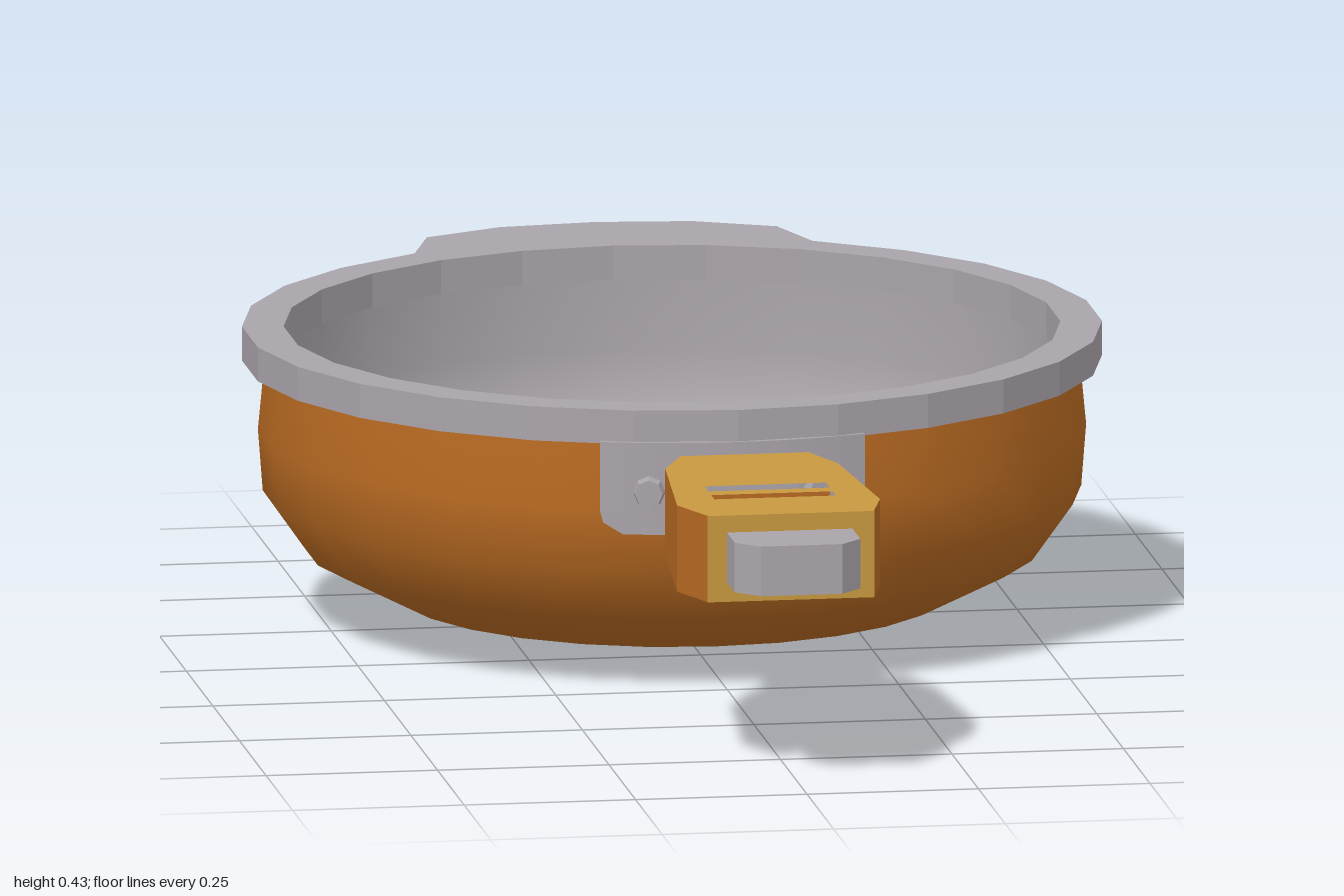
import * as THREE from 'three';

const CZ = -0.27;   // z of the pan's axis
const SIDES = 26;

export function createModel() {
  const model = new THREE.Group();
  const mat = (name, color) => {
    const m = new THREE.MeshStandardMaterial({ color });
    m.name = name;
    return m;
  };
  const grey = mat('greyMetal', 0xaaa4aa);
  const copper = mat('copper', 0xb86a22);
  const gold = mat('goldGrip', 0xc89840);

  const add = (name, geo, material, x = 0, y = 0, z = 0) => {
    const mesh = new THREE.Mesh(geo, material);
    mesh.name = name;
    mesh.position.set(x, y, z);
    model.add(mesh);
    return mesh;
  };
  const vecs = (pts) => pts.map(([x, y]) => new THREE.Vector2(x, y));
  // Plan outlines are given as (x, z) and extruded upwards
  const plan = (pts) => new THREE.Shape(vecs(pts.map(([x, z]) => [x, -z])));
  const slab = (shape, depth) =>
    new THREE.ExtrudeGeometry(shape, { depth, bevelEnabled: false }).rotateX(-Math.PI / 2);
  const rect = (x0, x1, z0, z1) => [[x0, z0], [x1, z0], [x1, z1], [x0, z1]];

  // Bowl outside and inside
  add('bowl', new THREE.LatheGeometry(vecs([
    [0, 0.004], [0.22, 0.01], [0.4, 0.043], [0.53, 0.11], [0.59, 0.195], [0.597, 0.285], [0.587, 0.39],
  ]), SIDES), copper, 0, 0, CZ);
  add('bowlInside', new THREE.LatheGeometry(vecs([
    [0.562, 0.39], [0.56, 0.285], [0.55, 0.21], [0.495, 0.13], [0.375, 0.068], [0.2, 0.036], [0, 0.03],
  ]), SIDES), grey, 0, 0, CZ);

  // Rim with the rear grab tab
  const ring = (r) => Array.from({ length: SIDES }, (_, i) => {
    const a = (i / SIDES) * Math.PI * 2;
    return [r * Math.sin(a), CZ + r * Math.cos(a)];
  });
  const tab = [[0.29, -0.82], [0.255, -0.93], [0.14, -0.985], [0, -1],
    [-0.14, -0.985], [-0.255, -0.93], [-0.29, -0.82]];
  const circle = ring(0.62);
  const isBack = ([x, z]) => z < -0.8 && Math.abs(x) < 0.3;
  const firstBack = circle.findIndex(isBack);
  const outline = circle.filter((p) => !isBack(p));
  outline.splice(firstBack, 0, ...tab);
  const rim = plan(outline);
  rim.holes.push(plan(ring(0.56)));
  add('rim', slab(rim, 0.05), grey, 0, 0.386, 0);

  // Bracket: a plate with rounded lower corners, bent around the bowl
  const bracket = new THREE.BoxGeometry(0.39, 0.135, 0.04, 10, 8, 1).toNonIndexed();
  const p = bracket.attributes.position;
  for (let i = 0; i < p.count; i++) {
    const y = p.getY(i);
    const t = Math.max(0, (-0.0325 - y) / 0.035);
    const x = p.getX(i) * (1 - 0.17 * (1 - Math.sqrt(Math.max(0, 1 - t * t))));
    const r = 0.605 + p.getZ(i);
    const a = x / 0.62;
    p.setXYZ(i, r * Math.sin(a), y, r * Math.cos(a));
  }
  bracket.computeVertexNormals();
  add('bracket', bracket, grey, -0.004, 0.3225, CZ);

  // Bracket screws
  for (const s of [-1, 1]) {
    const a = s * 0.2;
    const screw = add(s < 0 ? 'rightScrew' : 'leftScrew',
      new THREE.CylinderGeometry(0.02, 0.024, 0.02, 8).rotateX(Math.PI / 2).toNonIndexed(), grey,
      0.632 * Math.sin(a) - 0.004, 0.318, CZ + 0.632 * Math.cos(a));
    screw.geometry.computeVertexNormals();
    screw.rotation.y = a;
  }

  // Handle neck and end tip
  add('handleNeck', slab(plan(rect(-0.08, 0.065, 0.32, 0.5)), 0.075), grey, 0, 0.296, 0);
  add('handleTip', slab(plan([[-0.1, 0.82], [0.083, 0.82], [0.083, 0.965],
    [0.052, 0.998], [-0.067, 0.998], [-0.1, 0.965]]), 0.073), grey, 0, 0.297, 0);

  // Slotted grip: gold on top, copper on sides and underside
  const grip = plan([[-0.102, 0.465], [0.085, 0.465], [0.115, 0.55], [0.136, 0.81],
    [0.115, 0.888], [-0.128, 0.888], [-0.16, 0.81], [-0.137, 0.55]]);
  for (const [z0, z1] of [[0.682, 0.718], [0.745, 0.775]]) {
    grip.holes.push(plan(rect(-0.1, 0.077, z0, z1)));
  }
  const gripGeo = slab(grip, 0.127);
  const [caps, walls] = gripGeo.groups;
  const half = caps.count / 2;
  gripGeo.clearGroups();
  gripGeo.addGroup(0, half, 0);
  gripGeo.addGroup(half, half, 1);
  gripGeo.addGroup(walls.start, walls.count, 0);
  add('grip', gripGeo, [copper, gold], 0, 0.268, 0);
  add('gripEndPlate', new THREE.BoxGeometry(0.243, 0.127, 0.005), gold, -0.0065, 0.3315, 0.889);

  return model;
}
